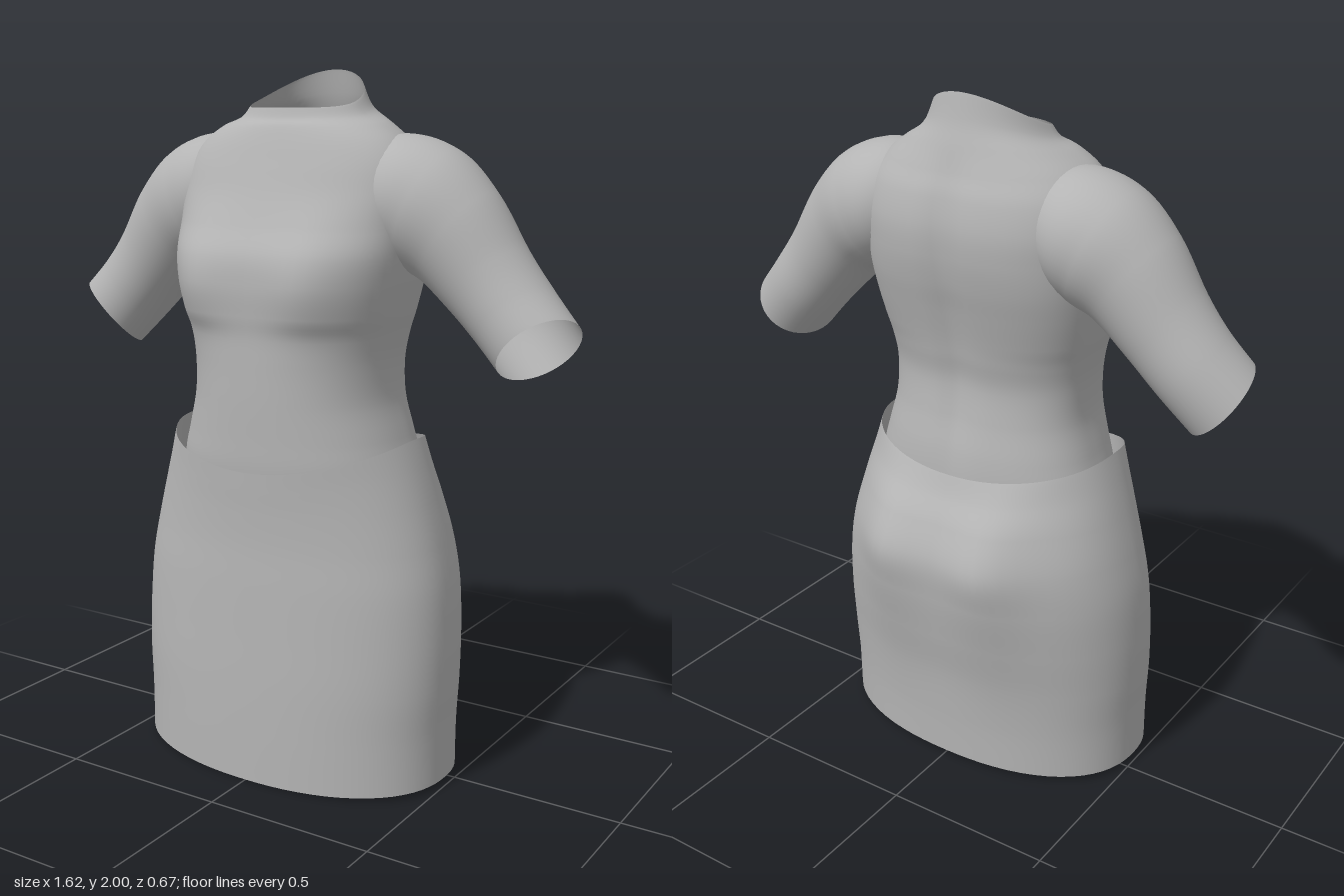
import * as THREE from 'three';
import { ParametricGeometry } from 'three/addons/geometries/ParametricGeometry.js';

const fabric = new THREE.MeshStandardMaterial({ color: 0xb4b4b4, side: THREE.DoubleSide });
fabric.name = 'greyFabric';

// Smooth interpolation through a list of key rows
function sample(rows, t) {
  const s = Math.min(Math.max(t, 0), 1) * (rows.length - 1);
  const i = Math.min(Math.floor(s), rows.length - 2);
  const f = s - i;
  const at = (k) => rows[Math.min(Math.max(k, 0), rows.length - 1)];
  return rows[0].map((_, c) => {
    const a = at(i - 1)[c], b = at(i)[c], d = at(i + 1)[c], e = at(i + 2)[c];
    const m0 = (d - a) / 2, m1 = (e - b) / 2;
    return b + f * (m0 + f * (3 * (d - b) - 2 * m0 - m1 + f * (2 * (b - d) + m0 + m1)));
  });
}

const bump = (x, centre, width) => Math.exp(-(((x - centre) / width) ** 2));

// Rounded-box outline with separate front and back depth
function outline(angle, w, front, back, n, mid) {
  const s = Math.sin(angle), c = Math.cos(angle);
  const r = (Math.abs(s) ** n + Math.abs(c) ** n) ** (-1 / n);
  return { x: w * s * r, z: mid + (c > 0 ? front - mid : mid - back) * c * r, c };
}

function surface(name, point, around, along) {
  const mesh = new THREE.Mesh(new ParametricGeometry(point, around, along), fabric);
  mesh.name = name;
  return mesh;
}

// y, half width, front z, back z, squareness, bust, spine groove, neck slope
const TOP = [
  [0.84, 0.36, 0.300, -0.205, 2.3, 0, 0.005, 0],
  [0.92, 0.355, 0.308, -0.205, 2.3, 0, 0.008, 0],
  [1.00, 0.332, 0.310, -0.198, 2.3, 0, 0.012, 0],
  [1.10, 0.306, 0.312, -0.180, 2.3, 0, 0.018, 0],
  [1.20, 0.304, 0.312, -0.170, 2.3, 0, 0.020, 0],
  [1.28, 0.316, 0.312, -0.182, 2.35, 0.004, 0.020, 0],
  [1.34, 0.330, 0.318, -0.193, 2.5, 0.018, 0.020, 0],
  [1.42, 0.346, 0.322, -0.212, 2.6, 0.025, 0.020, 0],
  [1.50, 0.358, 0.312, -0.232, 2.6, 0.018, 0.018, 0],
  [1.58, 0.365, 0.272, -0.246, 2.5, 0.008, 0.018, 0],
  [1.66, 0.370, 0.236, -0.248, 2.4, 0, 0.016, 0],
  [1.74, 0.355, 0.206, -0.232, 2.3, 0, 0.012, 0],
  [1.80, 0.315, 0.184, -0.206, 2.2, 0, 0.006, 0],
  [1.845, 0.255, 0.166, -0.182, 2.1, 0, 0, 0.15],
  [1.875, 0.195, 0.150, -0.162, 2, 0, 0, 0.5],
  [1.915, 0.165, 0.140, -0.146, 2, 0, 0, 1],
];

function topPoint(u, v, target) {
  const [y, w, f, b, n, bust, groove, slope] = sample(TOP, v);
  const p = outline(u * Math.PI * 2, w, f, b, n, 0.02);
  let z = p.z;
  if (p.c > 0) z += bust * bump(Math.abs(p.x), 0.19, 0.1) * p.c;
  else z -= groove * bump(p.x, 0, 0.055) * p.c;
  target.set(p.x, y - slope * (0.37 * z - 1.4 * z * z), z);
}

// centre x, centre y, centre z, across x, across y, half height, half depth, cuff slant
const SLEEVE = [
  [0.15, 1.69, -0.02, 0.05, 0.99, 0.10, 0.10, 0],
  [0.28, 1.66, -0.02, 0.15, 0.99, 0.165, 0.175, 0],
  [0.38, 1.62, -0.02, 0.40, 0.92, 0.175, 0.178, 0],
  [0.47, 1.55, -0.018, 0.60, 0.80, 0.155, 0.155, 0],
  [0.56, 1.44, -0.017, 0.72, 0.70, 0.131, 0.134, 0.01],
  [0.64, 1.35, -0.012, 0.72, 0.70, 0.122, 0.125, 0.03],
  [0.718, 1.268, 0.003, 0.72, 0.70, 0.120, 0.115, 0.05],
];

const sleevePoint = (side) => (u, v, target) => {
  const [cx, cy, cz, ax, ay, h, d, slant] = sample(SLEEVE, v);
  const a = u * Math.PI * 2 * side;
  const up = h * Math.cos(a), out = -slant * Math.sin(a);
  target.set(side * (cx + ax * up + ay * out), cy + ay * up - ax * out, cz + d * Math.sin(a));
};

// y at the sides, half width, front z, back z, squareness, seat lobes, front dip, back dip
const SKIRT = [
  [0.02, 0.492, 0.338, -0.250, 2.3, 0, 0.018, 0.01],
  [0.16, 0.492, 0.338, -0.256, 2.3, 0, 0.01, 0.005],
  [0.30, 0.498, 0.336, -0.268, 2.3, 0.003, 0, 0],
  [0.44, 0.497, 0.332, -0.292, 2.25, 0.008, 0, 0],
  [0.58, 0.486, 0.328, -0.312, 2.2, 0.018, 0, 0],
  [0.70, 0.462, 0.324, -0.316, 2.15, 0.028, 0.005, 0.002],
  [0.82, 0.430, 0.325, -0.278, 2.15, 0.022, 0.03, 0.015],
  [0.92, 0.400, 0.328, -0.235, 2.2, 0.010, 0.06, 0.04],
  [0.995, 0.376, 0.330, -0.212, 2.3, 0, 0.085, 0.06],
];

function skirtPoint(u, v, target) {
  const [y, w, f, b, n, seat, dipF, dipB] = sample(SKIRT, v);
  const p = outline(u * Math.PI * 2, w, f, b, n, 0.05);
  const lobe = p.c < 0 ? seat * bump(Math.abs(p.x), 0.18, 0.11) * p.c * 1.4 : 0;
  target.set(p.x, y - (p.c > 0 ? dipF : dipB) * p.c * p.c, p.z + lobe);
}

export function createModel() {
  const model = new THREE.Group();
  model.name = 'topAndSkirt';
  model.add(surface('topBody', topPoint, 72, 70));
  model.add(surface('leftSleeve', sleevePoint(1), 40, 36));
  model.add(surface('rightSleeve', sleevePoint(-1), 40, 36));
  model.add(surface('skirt', skirtPoint, 72, 48));
  return model;
}
